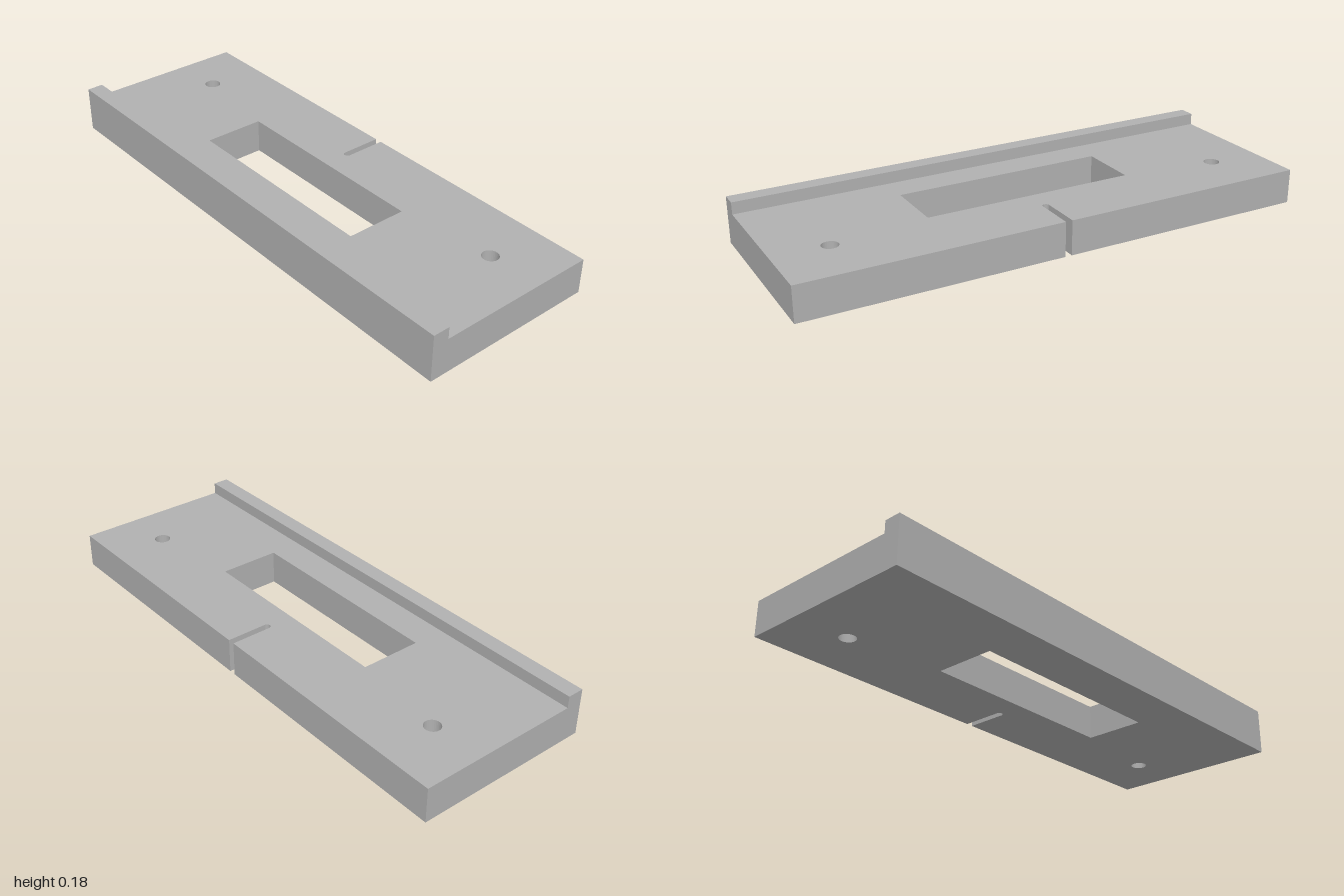
import * as THREE from 'three';

const HALF_W = 0.346, HALF_L = 1, PLATE_H = 0.134, LIP_H = 0.18, LIP_X = -0.282;

export function createModel() {
  const group = new THREE.Group();
  const grey = new THREE.MeshStandardMaterial({ color: 0xb0b0b0 });
  grey.name = 'grey';

  // Plate outline with a narrow round-ended slot cut into the +x edge
  const slot = 0.013, slotEnd = 0.175;
  const outline = new THREE.Shape();
  outline.moveTo(-HALF_W, -HALF_L);
  outline.lineTo(HALF_W, -HALF_L);
  outline.lineTo(HALF_W, -slot);
  outline.lineTo(slotEnd + slot, -slot);
  outline.absarc(slotEnd + slot, 0, slot, -Math.PI / 2, Math.PI / 2, true);
  outline.lineTo(HALF_W, slot);
  outline.lineTo(HALF_W, HALF_L);
  outline.lineTo(-HALF_W, HALF_L);
  outline.closePath();

  // Rectangular window
  const x0 = -0.158, x1 = 0.079, z = 0.414;
  outline.holes.push(new THREE.Path([[x0, -z], [x0, z], [x1, z], [x1, -z], [x0, -z]]
    .map(([x, y]) => new THREE.Vector2(x, y))));

  // Two screw holes
  for (const side of [-1, 1]) {
    outline.holes.push(new THREE.Path().absarc(0.125, side * 0.791, 0.031, 0, Math.PI * 2, true));
  }

  const plateGeometry = new THREE.ExtrudeGeometry(outline, {
    depth: PLATE_H, bevelEnabled: false, curveSegments: 16,
  });
  plateGeometry.rotateX(-Math.PI / 2);
  const plate = new THREE.Mesh(plateGeometry, grey);
  plate.name = 'plate';

  // Raised lip along the -x edge
  const lip = new THREE.Mesh(
    new THREE.BoxGeometry(LIP_X + HALF_W, LIP_H - PLATE_H, HALF_L * 2), grey);
  lip.position.set((LIP_X - HALF_W) / 2, (LIP_H + PLATE_H) / 2, 0);
  lip.name = 'edgeLip';

  group.add(plate, lip);
  return group;
}
